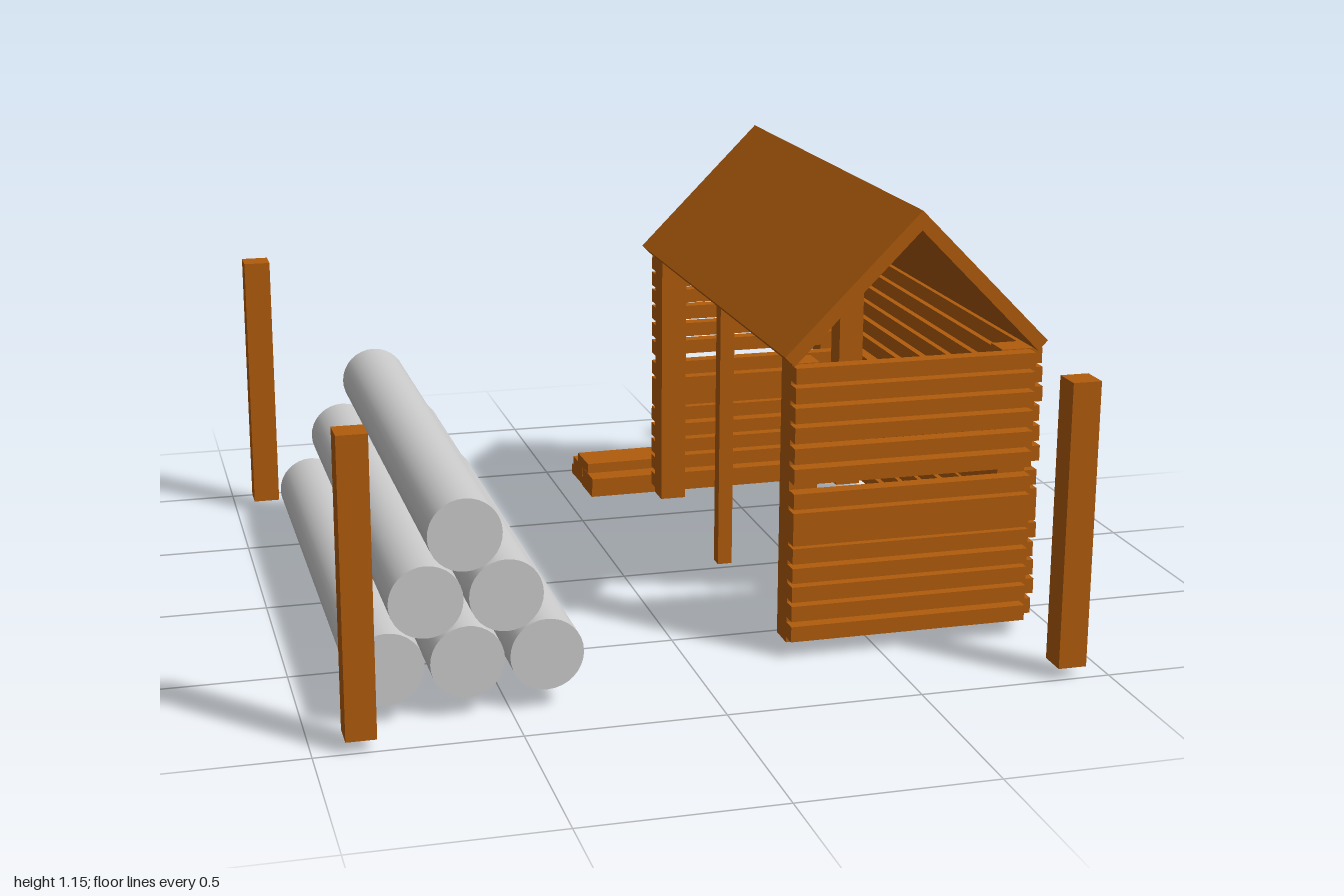
import * as THREE from 'three';

const wood = new THREE.MeshStandardMaterial({ color: 0xb05c0c, flatShading: true });
const grey = new THREE.MeshStandardMaterial({ color: 0xcccccc });

// Box given by its [min, max] extents on each axis
function box(parent, name, [x0, x1], [y0, y1], [z0, z1], turn = 0) {
  const mesh = new THREE.Mesh(new THREE.BoxGeometry(x1 - x0, y1 - y0, z1 - z0), wood);
  mesh.position.set((x0 + x1) / 2, (y0 + y1) / 2, (z0 + z1) / 2);
  mesh.rotation.y = turn;
  mesh.name = name;
  parent.add(mesh);
}

function group(parent, name) {
  const g = new THREE.Group();
  g.name = name;
  parent.add(g);
  return g;
}

export function createModel() {
  const model = new THREE.Group();
  model.name = 'woodShed';
  const postY = [0.03, 0.77];

  // Free-standing posts around the yard
  const yard = group(model, 'yardPosts');
  for (const [x, z] of [[-0.91, -0.877], [0.9, -0.877], [-0.885, 0.962], [0.9, 0.962]])
    box(yard, 'yardPost', [x - 0.037, x + 0.037], postY, [z - 0.038, z + 0.038]);

  // Shed frame: four corner posts and a thin one in the open side
  const frame = group(model, 'shedFrame');
  for (const x of [[0.26, 0.335], [0.825, 0.9]])
    for (const z of [[-0.63, -0.555], [0.585, 0.66]]) box(frame, 'cornerPost', x, postY, z);
  box(frame, 'middlePost', [0.26, 0.3], postY, [0.01, 0.05]);

  // Plank walls on three sides, rows as [bottom, top]
  const rows = [
    [0.045, 0.086], [0.1, 0.141], [0.152, 0.193], [0.203, 0.243], [0.255, 0.296], [0.303, 0.39], [0.4, 0.441],
    [0.465, 0.506], [0.519, 0.56], [0.573, 0.614], [0.625, 0.665], [0.676, 0.717], [0.727, 0.768],
  ];
  const walls = group(model, 'plankWalls');
  rows.forEach((y, i) => {
    const jog = 0.003 * ((i * 2) % 3 - 1);
    box(walls, 'frontPlank', [0.26, 0.9], y, [0.66, 0.7]);
    box(walls, 'backPlank', [0.26, 0.9], y, [-0.67, -0.63]);
    box(walls, 'sidePlank', [0.9, 0.94 + jog], y, [-0.64, 0.655]);
  });

  // Gable roof, an angled section run along z
  const section = new THREE.Shape([
    [0.23, 0.798], [0.255, 0.773], [0.58, 1.1], [0.905, 0.773], [0.93, 0.798], [0.58, 1.15],
  ].map(([x, y]) => new THREE.Vector2(x, y)));
  const roof = new THREE.Mesh(
    new THREE.ExtrudeGeometry(section, { depth: 1.375, bevelEnabled: false }), wood);
  roof.position.z = -0.675;
  roof.name = 'roof';
  model.add(roof);

  // Pyramid of six logs
  const logs = group(model, 'logPile');
  const logShape = new THREE.CylinderGeometry(0.091, 0.091, 1.445, 32).rotateX(Math.PI / 2);
  for (let level = 0; level < 3; level++)
    for (let i = 0; i < 3 - level; i++) {
      const log = new THREE.Mesh(logShape, grey);
      log.position.set(-0.8 + i * 0.195 + level * 0.097, 0.14 + level * 0.16, 0.13);
      log.name = 'log';
      logs.add(log);
    }

  // Loose planks stacked behind the shed: [bottom, back z, front z, turn]
  const stack = group(model, 'plankStack');
  for (const [y, z0, z1, turn] of [
    [0, -0.985, -0.86, 0.028], [0, -0.845, -0.72, 0.01],
    [0.03, -0.965, -0.85, 0.02], [0.03, -0.83, -0.707, 0.008], [0.06, -0.9, -0.775, 0.02],
  ]) box(stack, 'loosePlank', [0.08, 0.795], [y, y + 0.031], [z0, z1], turn);

  return model;
}
